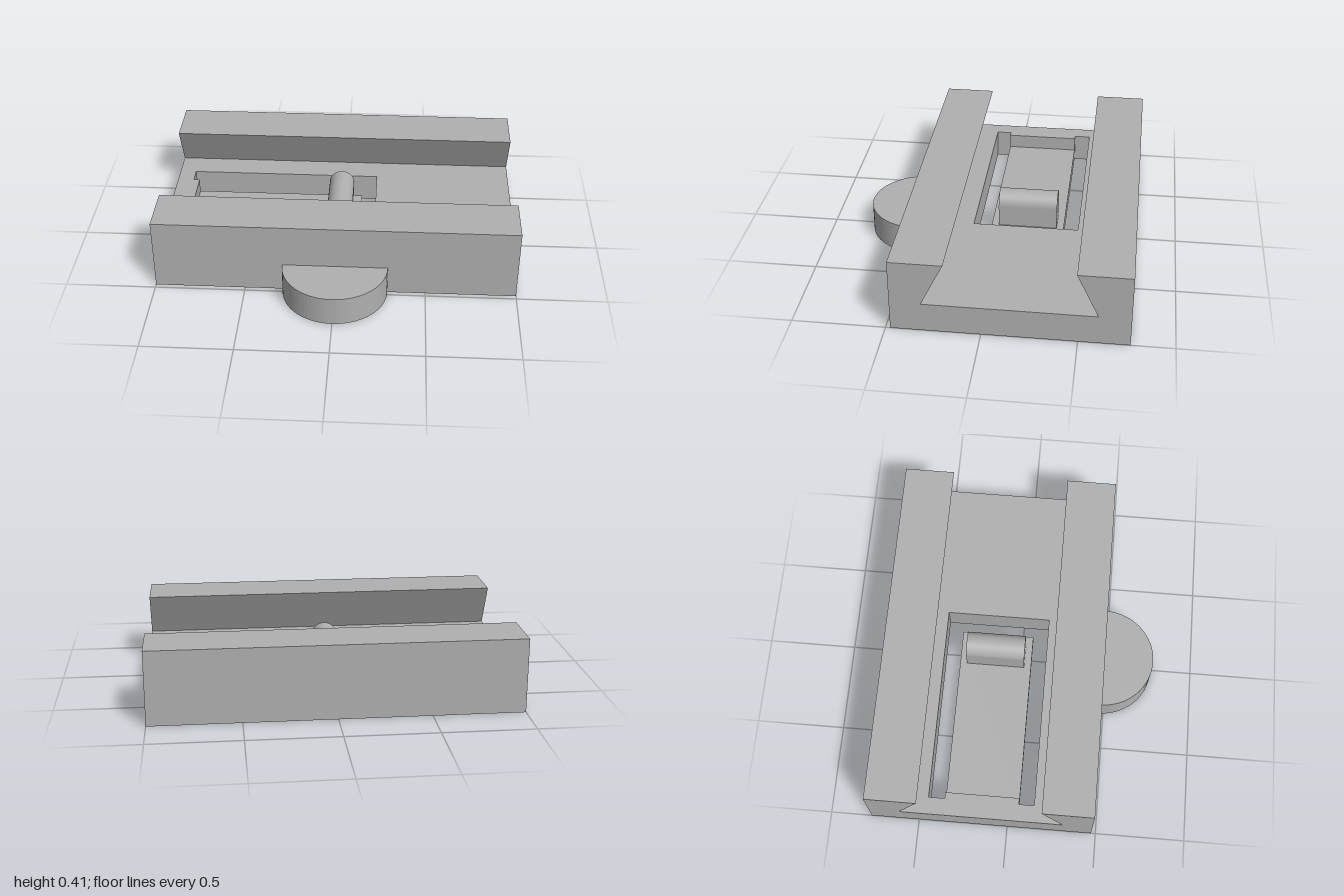
import * as THREE from 'three';

const FLOOR = 0.165, TOP = 0.41, TONGUE = 0.083;

const shapeOf = (pts) => new THREE.Shape(pts.map(([a, b]) => new THREE.Vector2(a, b)));
const extrude = (shape, depth, curveSegments = 12) =>
  new THREE.ExtrudeGeometry(shape, { depth, curveSegments, bevelEnabled: false });

export function createModel() {
  const group = new THREE.Group();
  const grey = new THREE.MeshStandardMaterial({ color: 0xb0b0b0 });
  grey.name = 'plain grey';

  const add = (name, geometry) => {
    const mesh = new THREE.Mesh(geometry, grey);
    mesh.name = name;
    group.add(mesh);
    return mesh;
  };

  // Plan shapes are drawn as (x, -z) and stood upright
  const plan = (shape, height, segments) => extrude(shape, height, segments).rotateX(-Math.PI / 2);

  // Channel floor, pierced by the pocket around the spring tongue
  const floor = shapeOf([[-1, -0.31], [1, -0.31], [1, 0.6], [-1, 0.6]]);
  floor.holes.push(shapeOf([
    [-0.905, -0.145], [0.205, -0.145], [0.205, 0.445], [-0.905, 0.445],
    [-0.905, 0.355], [-0.87, 0.355], [-0.87, -0.06], [-0.905, -0.06],
  ]));
  add('channelFloor', plan(floor, FLOOR));

  // Dovetail rails, section drawn as (-z, y) and run along x
  const rail = (name, outer, foot, lip) => {
    const section = shapeOf([[-outer, 0], [-foot, 0], [-foot, FLOOR], [-lip, TOP], [-outer, TOP]]);
    add(name, extrude(section, 2).rotateY(Math.PI / 2).translate(-1, 0, 0));
  };
  rail('frontRail', 0.475, 0.31, 0.19);
  rail('backRail', -0.77, -0.6, -0.485);

  // Thin spring tongue, flush with the underside
  add('springTongue', new THREE.BoxGeometry(0.99, TONGUE, 0.415)).position.set(-0.375, TONGUE / 2, -0.1475);

  // Round-topped catch standing on the tongue
  const r = 0.0725;
  const catchSection = new THREE.Shape();
  catchSection.moveTo(-r, TONGUE);
  catchSection.lineTo(r, TONGUE);
  catchSection.lineTo(r, 0.2075);
  catchSection.absarc(0, 0.2075, r, 0, Math.PI, false);
  catchSection.closePath();
  add('catchRidge', extrude(catchSection, 0.335, 16)).position.z = -0.315;

  // Half-round thumb tab on the front
  const tab = new THREE.Shape();
  tab.absarc(0, -0.475, 0.29, Math.PI, Math.PI * 2, false);
  tab.closePath();
  add('thumbTab', plan(tab, FLOOR, 20));

  return group;
}
